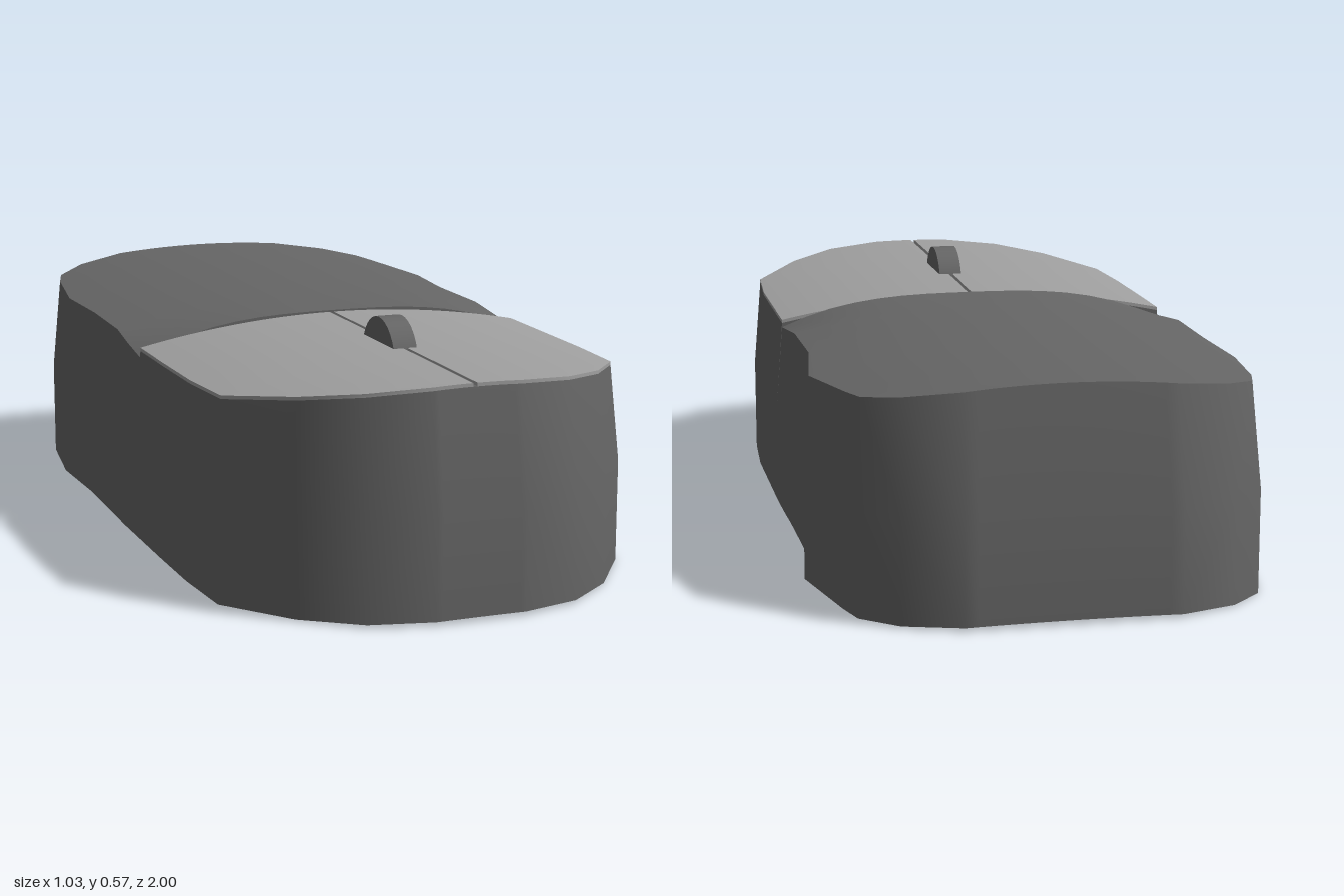
import * as THREE from 'three';
import { toCreasedNormals } from 'three/addons/utils/BufferGeometryUtils.js';

const SEAM = 0.107;
const COLS = 16;

// Plan outline as stations from back to front: [z, left edge x, right edge x]
const BACK = [
  [-1, -0.25, 0.23], [-0.95, -0.38, 0.36], [-0.87, -0.46, 0.44], [-0.79, -0.483, 0.462],
  [-0.56, -0.515, 0.513], [-0.33, -0.508, 0.482], [-0.1, -0.512, 0.485], [0, -0.515, 0.488], [SEAM, -0.515, 0.49],
];
const FRONT = [
  [SEAM, -0.515, 0.49], [0.3, -0.515, 0.49], [0.5, -0.513, 0.49], [0.69, -0.5, 0.478],
  [0.86, -0.38, 0.36], [0.96, -0.255, 0.24], [1, -0.11, 0.1],
];

// Heights of the surfaces
const floorY = (x) => 0.01 * Math.max(0, 1 - (x / 0.48) ** 2);
const waistY = () => 0.24;
const buttonY = (x) => 0.517 - 0.22 * x * x;
const underButtonY = (x) => buttonY(x) - 0.008;
// The palm shell curls down at the sides as it nears the seam
const palmY = (x, z) => {
  const t = THREE.MathUtils.clamp((z + 0.1) / (SEAM + 0.1), 0, 1);
  const plain = 0.521 - 0.215 * x * x;
  const curled = 0.521 - 0.08 * Math.abs(x / 0.49) ** 3;
  return THREE.MathUtils.lerp(plain, curled, t);
};

// Closed solid through the stations; each level is [height function, drawn in or not]
function solid(stations, levels, minX = -1, maxX = 1) {
  const pos = [];
  const point = (s, c, l) => {
    const [z0, xl, xr] = stations[s];
    const [height, drawnIn] = levels[l];
    const k = drawnIn ? 0.965 : 1;
    const a = Math.max(xl * k, minX), b = Math.min(xr * k, maxX);
    const x = a + (b - a) * c / COLS;
    const z = drawnIn ? z0 * (1 - 0.04 * Math.abs(z0)) : z0;
    return [x, height(x, z), z];
  };
  // The face looks along (direction of i) x (direction of j)
  const sheet = (ni, nj, f) => {
    for (let i = 0; i < ni; i++) {
      for (let j = 0; j < nj; j++) {
        const a = f(i, j), b = f(i + 1, j), c = f(i + 1, j + 1), d = f(i, j + 1);
        pos.push(...a, ...b, ...c, ...a, ...c, ...d);
      }
    }
  };
  const S = stations.length - 1, L = levels.length - 1;
  sheet(S, COLS, (s, c) => point(s, c, L)); // top
  sheet(COLS, S, (c, s) => point(s, c, 0)); // bottom
  sheet(L, S, (l, s) => point(s, COLS, l)); // +x side
  sheet(S, L, (s, l) => point(s, 0, l)); // -x side
  sheet(COLS, L, (c, l) => point(S, c, l)); // front end
  sheet(L, COLS, (l, c) => point(0, c, l)); // back end
  const geometry = new THREE.BufferGeometry();
  geometry.setAttribute('position', new THREE.Float32BufferAttribute(pos, 3));
  return toCreasedNormals(geometry, 0.45);
}

export function createModel() {
  const model = new THREE.Group();
  model.name = 'computerMouse';
  const dark = new THREE.MeshStandardMaterial({ color: 0x666666 });
  const light = new THREE.MeshStandardMaterial({ color: 0xa0a0a0 });
  const add = (name, geometry, material) => {
    const mesh = new THREE.Mesh(geometry, material);
    mesh.name = name;
    model.add(mesh);
    return mesh;
  };

  // Body, in two halves that meet at the seam
  add('palmShell', solid(BACK, [[floorY, false], [waistY, false], [palmY, true]]), dark);
  add('frontBody', solid(FRONT, [[floorY, false], [waistY, false], [underButtonY, true]]), dark);

  // Two click buttons with a narrow gap between them
  const plate = [[underButtonY, true], [buttonY, true]];
  add('leftButton', solid(FRONT, plate, -0.005, 1), light);
  add('rightButton', solid(FRONT, plate, -1, -0.015), light);

  // Scroll wheel
  const wheel = add('scrollWheel', new THREE.CylinderGeometry(0.1, 0.1, 0.057, 32), dark);
  wheel.rotation.z = Math.PI / 2;
  wheel.position.set(-0.01, 0.475, 0.483);

  return model;
}
